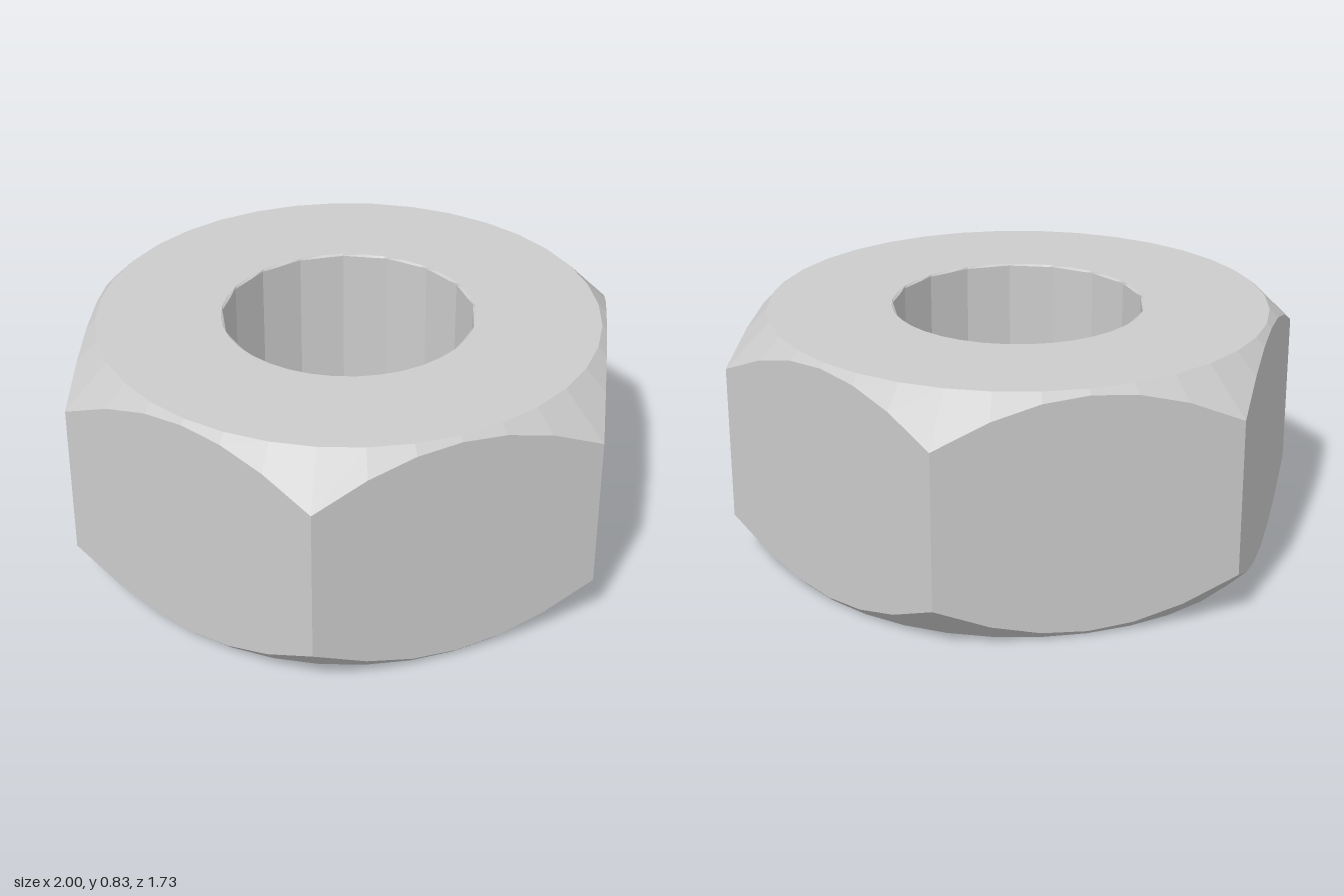
import * as THREE from 'three';

const H = 0.83, FACE_R = 0.85, RIM_R = 0.43, BORE_R = 0.427;
const TAU = Math.PI * 2;

// Radius at angle t of a regular n-gon with circumradius R and a corner at t = phase
function polygonRadius(n, R, t, phase = 0) {
  const step = TAU / n;
  const u = (((t - phase) % step) + step) % step;
  return R * Math.cos(step / 2) / Math.cos(u - step / 2);
}

// Skin a series of closed loops; each loop maps an angle to [radius, height]
function skin(angles, loops) {
  const points = [], index = [], n = angles.length;
  for (const loop of loops) {
    for (const t of angles) {
      const [r, y] = loop(t);
      points.push(r * Math.sin(t), y, -r * Math.cos(t));
    }
  }
  for (let j = 0; j < loops.length - 1; j++) {
    for (let i = 0; i < n; i++) {
      const k = (i + 1) % n;
      const a = j * n + i, b = j * n + k, c = b + n, d = a + n;
      index.push(a, b, c, a, c, d);
    }
  }
  const geometry = new THREE.BufferGeometry();
  geometry.setAttribute('position', new THREE.Float32BufferAttribute(points, 3));
  geometry.setIndex(index);
  const flat = geometry.toNonIndexed();
  flat.computeVertexNormals();
  return flat;
}

const divide = n => Array.from({ length: n }, (_, i) => i * TAU / n);

export function createModel() {
  const group = new THREE.Group();
  group.name = 'hexNut';
  const material = new THREE.MeshStandardMaterial({ color: 0xcccccc, flatShading: true });

  // Hexagonal body: flat faces, with corners cut by a 45 degree cone at both ends
  const hex = t => polygonRadius(6, 1, t, Math.PI / 6);
  const body = new THREE.Mesh(skin(divide(36), [
    () => [RIM_R, H],
    () => [FACE_R, H],
    t => [hex(t), H - (hex(t) - FACE_R)],
    t => [hex(t), hex(t) - FACE_R],
    () => [FACE_R, 0],
    () => [RIM_R, 0],
  ]), material);
  body.name = 'hexBody';
  group.add(body);

  // Faceted 17-sided bore, with a tiny bevel out to the round rims
  const angles = [...divide(36), ...divide(17).slice(1)].sort((a, b) => a - b);
  const rim = y => t => [polygonRadius(36, RIM_R, t), y];
  const wall = y => t => [polygonRadius(17, BORE_R, t), y];
  const bore = new THREE.Mesh(
    skin(angles, [rim(0), wall(0.006), wall(H - 0.006), rim(H)]), material);
  bore.name = 'bore';
  group.add(bore);

  return group;
}
